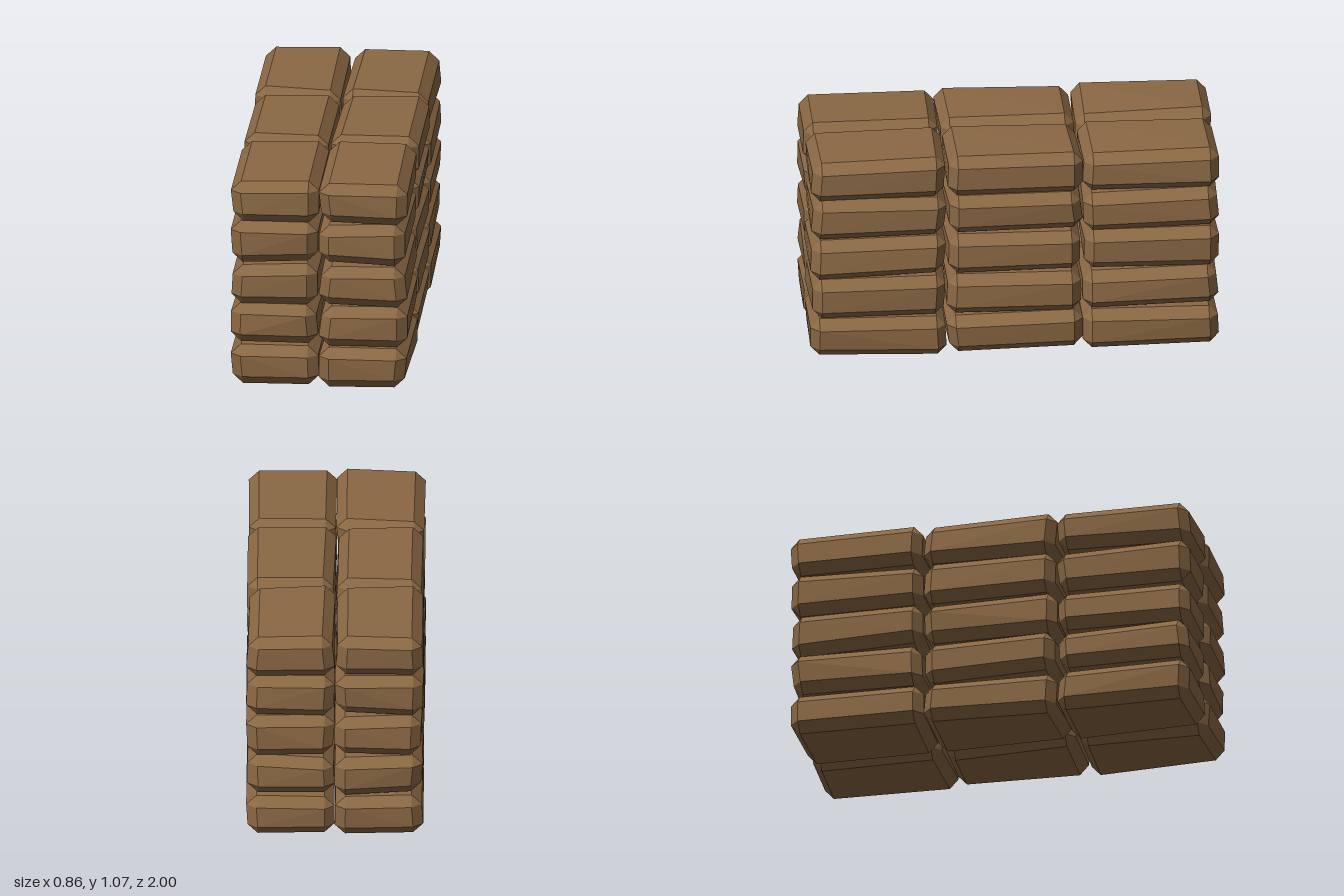
import * as THREE from 'three';
import { ConvexGeometry } from 'three/addons/geometries/ConvexGeometry.js';

const COLS = 2, ROWS = 3, LAYERS = 5;
const CELL = new THREE.Vector3(0.432, 0.214, 0.6667);
const BEVEL = new THREE.Vector3(0.05, 0.048, 0.044);

// Small seeded generator for the uneven, hand-filled look
function seeded(seed) {
  return () => {
    seed = (seed * 1664525 + 1013904223) % 4294967296;
    return seed / 4294967296;
  };
}

// Chamfered block: each corner is cut into three points, then sagged inward a little
function bagGeometry(rand) {
  const points = [];
  const sag = (amount) => Math.max(0, rand() * 1.5 - 0.5) * amount;
  for (const sx of [-1, 1]) for (const sy of [-1, 1]) for (const sz of [-1, 1]) {
    const x = CELL.x / 2 - sag(0.014);
    const y = CELL.y / 2 - sag(0.016);
    const z = CELL.z / 2 - sag(0.014);
    const bx = x - BEVEL.x, by = y - BEVEL.y, bz = z - BEVEL.z;
    for (const [px, py, pz] of [[x, by, bz], [bx, y, bz], [bx, by, z]]) {
      points.push(new THREE.Vector3(sx * px, sy * py, sz * pz));
    }
  }
  return new ConvexGeometry(points);
}

export function createModel() {
  const model = new THREE.Group();
  model.name = 'sandbagWall';
  const burlap = new THREE.MeshStandardMaterial({ color: 0x8a6844 });
  burlap.name = 'brown burlap';
  const rand = seeded(17);

  // Bags stacked in layers, each with its own slight irregularity
  for (let j = 0; j < LAYERS; j++) {
    const layer = new THREE.Group();
    layer.name = `bagLayer${j + 1}`;
    layer.position.y = (j + 0.5) * CELL.y;
    for (let i = 0; i < COLS; i++) for (let k = 0; k < ROWS; k++) {
      const bag = new THREE.Mesh(bagGeometry(rand), burlap);
      bag.name = 'sandbag';
      bag.position.set((i - (COLS - 1) / 2) * CELL.x, 0, (k - (ROWS - 1) / 2) * CELL.z);
      layer.add(bag);
    }
    model.add(layer);
  }
  return model;
}
